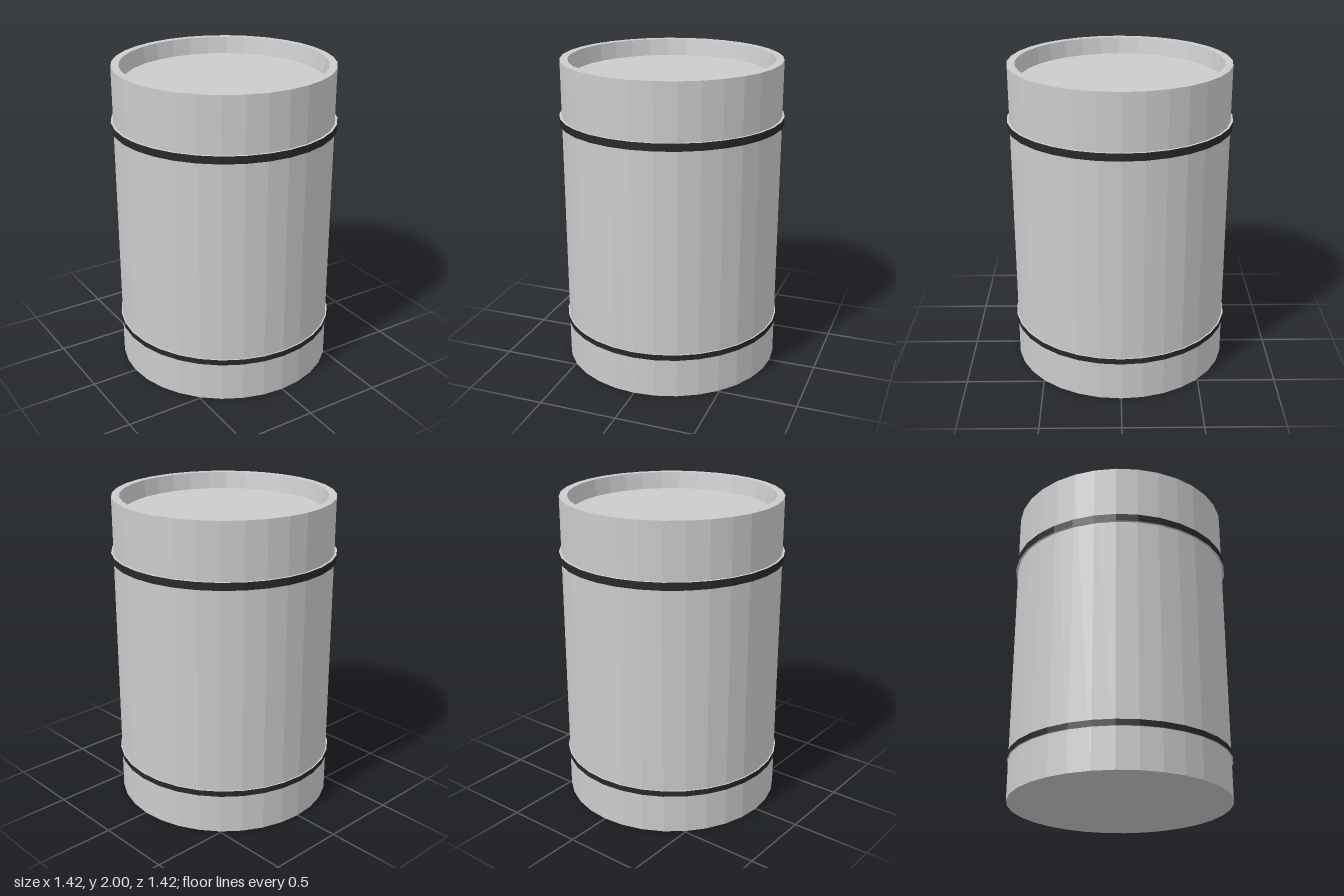
import * as THREE from 'three';

const SIDES = 32;
const RADIUS = 0.697;

// Bands around the barrel: [bottom, top, radius]
const BANDS = [
  [0.257, 0.294, 0.706],
  [1.6, 1.648, 0.712],
];

export function createModel() {
  const group = new THREE.Group();
  const grey = new THREE.MeshStandardMaterial({ color: 0xcccccc, flatShading: true });
  const dark = new THREE.MeshStandardMaterial({ color: 0x282828, flatShading: true });

  const add = (name, geometry, material) => {
    const mesh = new THREE.Mesh(geometry, material);
    mesh.name = name;
    group.add(mesh);
    return mesh;
  };
  const lathe = (points) =>
    new THREE.LatheGeometry(points.map(([r, y]) => new THREE.Vector2(r, y)), SIDES);

  // Outer wall, rim and recessed lid, from the base centre to the lid centre
  add('barrelBody', lathe([
    [0, 0], [RADIUS, 0], [RADIUS, 2],
    [0.648, 2], [0.631, 1.893], [0, 1.893],
  ]), grey);

  BANDS.forEach(([bottom, top, radius], i) => {
    const place = i ? 'upper' : 'lower';
    // Grey ledges under and over the band
    add(place + 'BandUnderside', lathe([[RADIUS, bottom], [radius, bottom]]), grey);
    add(place + 'BandTop', lathe([[radius, top], [RADIUS, top]]), grey);
    // Dark outer face
    add(place + 'Band', lathe([[radius, bottom], [radius, top]]), dark);
  });

  return group;
}
